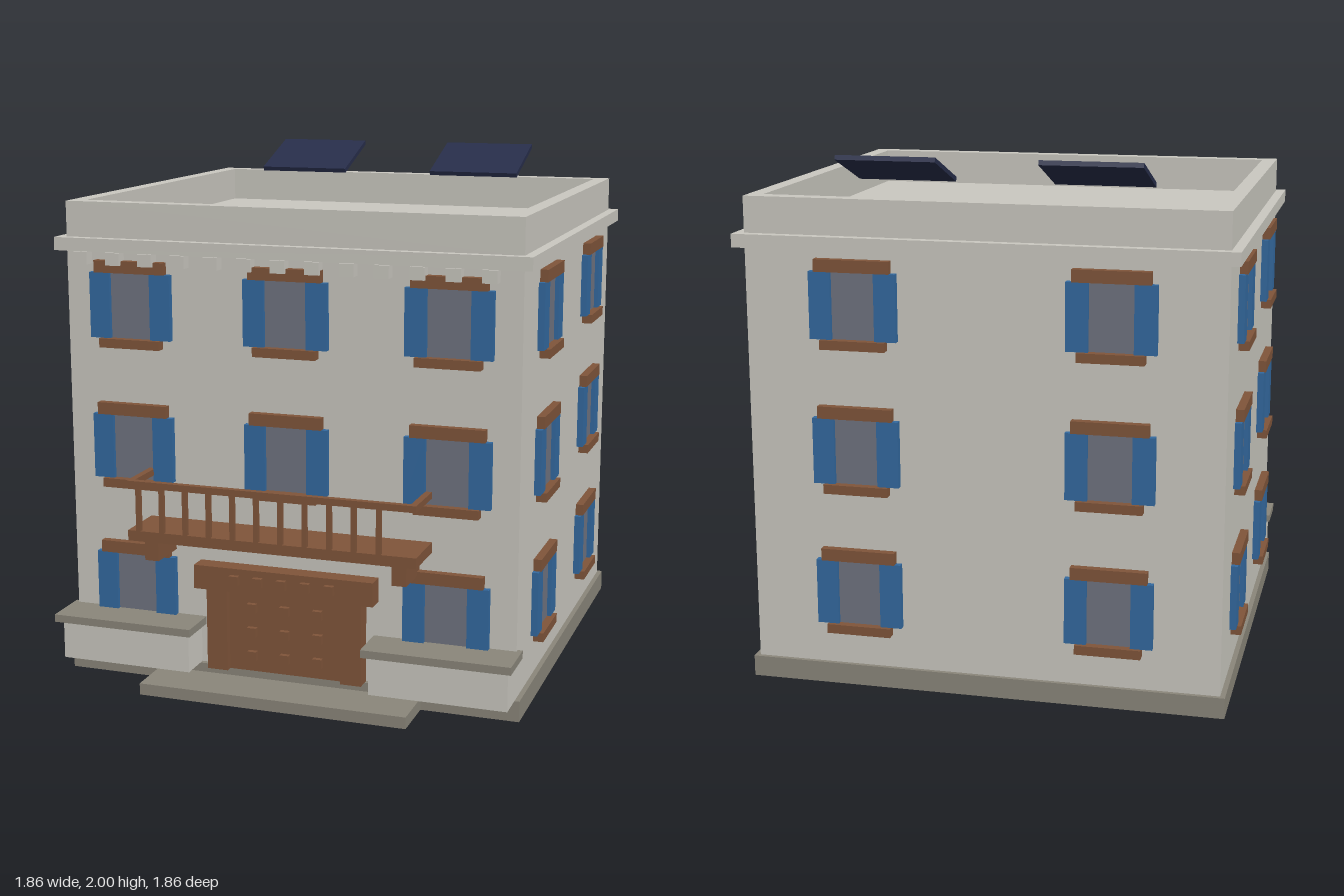
import * as THREE from 'three';

const mat = (name, color) => {
  const m = new THREE.MeshStandardMaterial({ color });
  m.name = name;
  return m;
};

export function createModel() {
  const plaster = mat('plaster', 0xcac8c0);
  const stone = mat('stone', 0x8a867a);
  const wood = mat('wood', 0x80553a);
  const blue = mat('shutterBlue', 0x33699f);
  const glass = mat('windowGlass', 0x6f7380);
  const solar = mat('solarBlue', 0x272d4a);

  const model = new THREE.Group();
  model.name = 'house';

  // Box given by its min and max on each axis
  const box = (name, m, [x0, x1], [y0, y1], [z0, z1], parent = model) => {
    const mesh = new THREE.Mesh(new THREE.BoxGeometry(x1 - x0, y1 - y0, z1 - z0), m);
    mesh.position.set((x0 + x1) / 2, (y0 + y1) / 2, (z0 + z1) / 2);
    mesh.name = name;
    parent.add(mesh);
    return mesh;
  };
  const mirrored = (name, m, [x0, x1], y, z, parent = model) => {
    box(name + 'Left', m, [x0, x1], y, z, parent);
    box(name + 'Right', m, [-x1, -x0], y, z, parent);
  };

  const W = 0.888, FRONT = 0.718, BACK = -0.892;

  // Base, front step and main body
  box('plinth', stone, [-0.907, 0.907], [0, 0.08], [-0.908, 0.738]);
  box('frontStep', stone, [-0.53, 0.53], [0, 0.045], [0.7, 0.932]);
  box('walls', plaster, [-W, W], [0.08, 1.67], [BACK, FRONT]);
  box('cornice', plaster, [-0.925, 0.925], [1.67, 1.72], [-0.928, 0.752]);

  // Parapet: a rectangular ring around the flat roof
  const rect = (path, x, z0, z1) => path.moveTo(-x, -z1).lineTo(x, -z1).lineTo(x, -z0).lineTo(-x, -z0).closePath();
  const ring = rect(new THREE.Shape(), W, BACK, FRONT);
  ring.holes.push(rect(new THREE.Path(), W - 0.058, BACK + 0.058, FRONT - 0.058));
  const parapet = new THREE.Mesh(new THREE.ExtrudeGeometry(ring, { depth: 0.135, bevelEnabled: false }), plaster);
  parapet.rotation.x = -Math.PI / 2;
  parapet.position.y = 1.72;
  parapet.name = 'parapet';
  model.add(parapet);

  // Dentils under the front cornice
  for (let i = 0; i < 13; i++) {
    const x = -0.812 + i * 0.1322;
    box('dentil', plaster, [x - 0.028, x + 0.028], [1.622, 1.67], [0.7, 0.764]);
  }

  // Low walls with stone caps beside the entrance
  mirrored('lowWall', plaster, [0.36, W], [0.08, 0.235], [0.7, 0.85]);
  mirrored('lowWallCap', stone, [0.34, 0.907], [0.235, 0.265], [0.7, 0.886]);

  // Window facing +z around its own centre
  const addWindow = (x, y, z, turn) => {
    const g = new THREE.Group();
    g.name = 'window';
    box('pane', glass, [-0.085, 0.085], [-0.125, 0.125], [0, 0.009], g);
    mirrored('shutter', blue, [0.082, 0.164], [-0.125, 0.125], [0, 0.025], g);
    box('lintel', wood, [-0.142, 0.142], [0.125, 0.171], [0, 0.031], g);
    box('sill', wood, [-0.123, 0.123], [-0.16, -0.125], [0, 0.04], g);
    g.position.set(x, y, z);
    g.rotation.y = turn;
    model.add(g);
  };
  [0.37, 0.92, 1.467].forEach((y, floor) => {
    for (const x of [-0.622, 0, 0.622]) {
      if (floor > 0 || x !== 0) addWindow(x, y, FRONT, 0);
    }
    for (const x of [-0.475, 0.475]) addWindow(x, y, BACK, Math.PI);
    for (const z of [-0.485, 0.32]) {
      addWindow(W, y, z, Math.PI / 2);
      addWindow(-W, y, z, -Math.PI / 2);
    }
  });

  // Studded front door with posts and a heavy lintel
  box('door', wood, [-0.23, 0.23], [0.08, 0.4], [0.7, 0.755]);
  mirrored('doorPost', wood, [0.228, 0.31], [0.08, 0.4], [0.7, 0.783]);
  box('doorLintel', wood, [-0.358, 0.358], [0.4, 0.493], [0.7, 0.79]);
  const stud = (x, y, z) => box('stud', wood, [x - 0.018, x + 0.018], [y - 0.018, y + 0.018], [z - 0.01, z + 0.02]);
  for (let i = -2; i <= 2; i++) stud(i * 0.095, 0.45, 0.79);
  for (const y of [0.145, 0.24, 0.335]) {
    for (let i = -1; i <= 1; i++) stud(i * 0.132, y, 0.755);
  }

  // Balcony: slab, brackets, balusters and three rails
  const balcony = new THREE.Group();
  balcony.name = 'balcony';
  model.add(balcony);
  box('balconyFloor', wood, [-0.563, 0.563], [0.61, 0.65], [0.7, 0.928], balcony);
  mirrored('bracket', wood, [0.46, 0.515], [0.525, 0.61], [0.7, 0.886], balcony);
  box('frontRail', wood, [-0.563, 0.563], [0.818, 0.843], [0.907, 0.932], balcony);
  mirrored('sideRail', wood, [0.538, 0.563], [0.818, 0.843], [0.718, 0.907], balcony);
  for (let i = 0; i < 11; i++) {
    const x = -0.52 + i * 0.0942;
    box('baluster', wood, [x - 0.009, x + 0.009], [0.65, 0.818], [0.911, 0.929], balcony);
  }

  // Tilted solar panels above the roof
  for (const x of [-0.377, 0.377]) {
    const p = box('solarPanel', solar, [x - 0.188, x + 0.188], [1.931, 1.949], [-0.81, -0.51]);
    p.rotation.x = 0.35;
  }

  return model;
}
